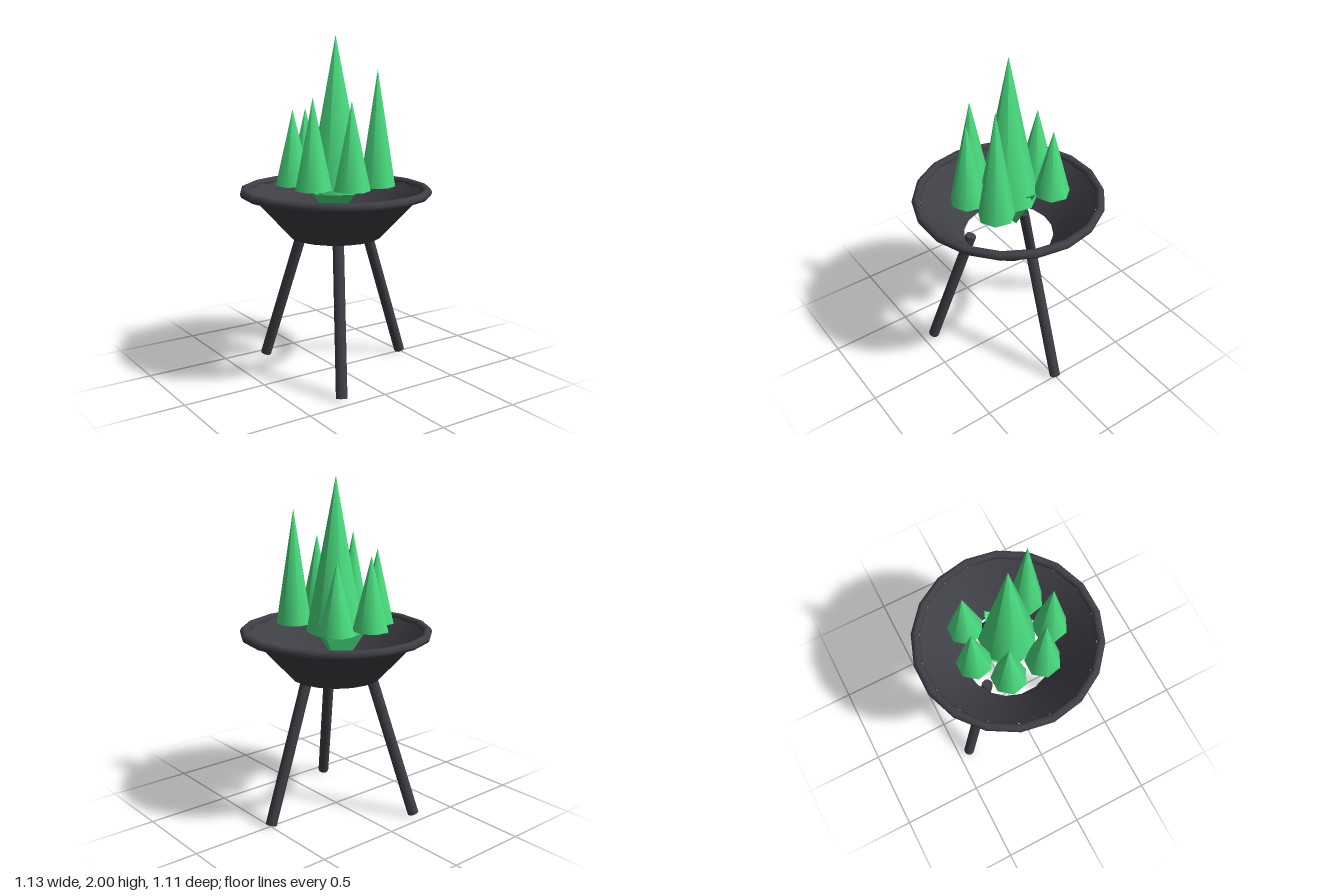
import * as THREE from 'three';
import { ConvexGeometry } from 'three/addons/geometries/ConvexGeometry.js';

export function createModel() {
  const model = new THREE.Group();
  model.name = 'plantStand';

  const iron = new THREE.MeshStandardMaterial({ color: 0x3f3f46, side: THREE.DoubleSide });
  iron.name = 'darkIron';
  const leaf = new THREE.MeshStandardMaterial({ color: 0x4ade80 });
  leaf.name = 'leafGreen';

  const add = (name, geometry, material, x = 0, y = 0, z = 0) => {
    const mesh = new THREE.Mesh(geometry, material);
    mesh.name = name;
    mesh.position.set(x, y, z);
    model.add(mesh);
    return mesh;
  };

  // Open bowl without a floor, and its rolled rim
  add('bowl', new THREE.CylinderGeometry(0.52, 0.27, 0.27, 18, 1, true), iron, 0, 0.965, 0);
  add('rim', new THREE.TorusGeometry(0.54, 0.026, 8, 18), iron, 0, 1.1, 0).rotation.x = Math.PI / 2;

  // Three splayed legs
  const up = new THREE.Vector3(0, 1, 0);
  for (let i = 0; i < 3; i++) {
    const a = (i * Math.PI * 2) / 3;
    const at = (r, y) => new THREE.Vector3(Math.cos(a) * r, y, Math.sin(a) * r);
    const foot = at(0.495, 0.011);
    const top = at(0.228, 0.821);
    const axis = top.clone().sub(foot);
    const leg = add('leg' + (i + 1), new THREE.CylinderGeometry(0.033, 0.033, axis.length(), 8), iron);
    leg.position.copy(foot).add(top).multiplyScalar(0.5);
    leg.quaternion.setFromUnitVectors(up, axis.normalize());
  }

  // Tall centre cone and the pointed root clump under it
  const cone = (name, r, base, tip, x, z) =>
    add(name, new THREE.ConeGeometry(r, tip - base, 7), leaf, x, (base + tip) / 2, z);
  cone('centreFoliage', 0.175, 1.1, 2, 0, 0);
  const clump = [[0.18, 1.19, -0.06], [-0.09, 1.12, -0.165], [0.055, 1.12, 0.155],
    [-0.17, 1.1, 0.05], [0.01, 0.88, -0.05]];
  add('rootClump', new ConvexGeometry(clump.map((p) => new THREE.Vector3(...p))), leaf);

  // Ring of small cones, with one place of seven left open
  const tips = [1.81, 1.64, 1.66, 1.58, 1.57, 1.55];
  tips.forEach((tip, i) => {
    const a = ((i + 1) * Math.PI * 2) / 7;
    cone('smallFoliage' + (i + 1), 0.107, 1.14, tip, Math.cos(a) * 0.25, Math.sin(a) * 0.25);
  });

  return model;
}
